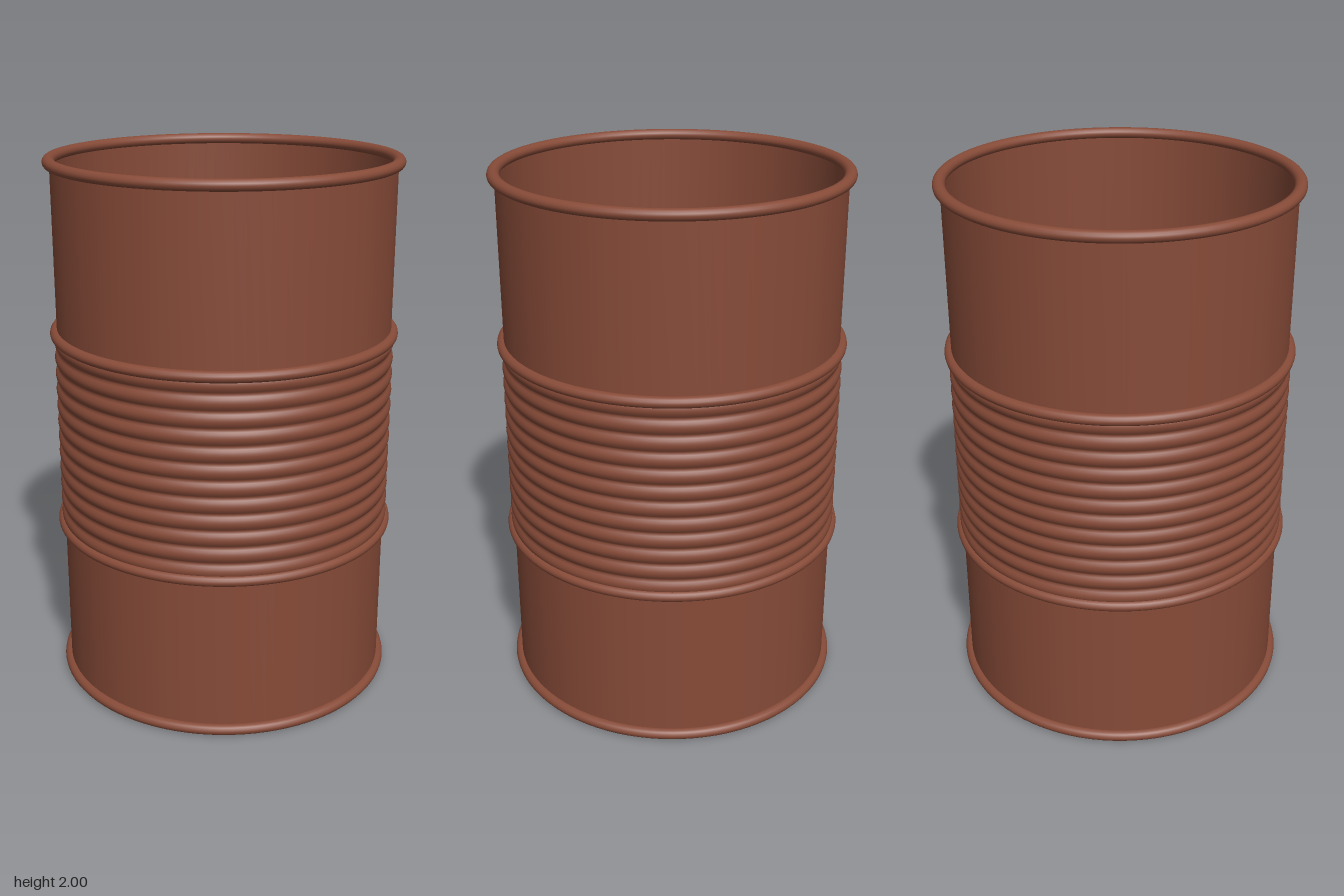
import * as THREE from 'three';

export function createModel() {
  const model = new THREE.Group();
  model.name = 'barrel';
  const rust = new THREE.MeshStandardMaterial({ color: 0x874b38, side: THREE.DoubleSide });
  rust.name = 'rust brown';

  const wallRadius = 0.62;
  const segments = 96;

  function addLathe(name, points) {
    const mesh = new THREE.Mesh(new THREE.LatheGeometry(points, segments), rust);
    mesh.name = name;
    model.add(mesh);
  }

  // Plain sheet walls, open at both ends
  const wall = (y0, y1) => [new THREE.Vector2(wallRadius, y0), new THREE.Vector2(wallRadius, y1)];
  addLathe('lowerWall', wall(0.02, 0.62));
  addLathe('upperWall', wall(1.36, 1.98));

  // Corrugated middle with rounded ribs
  const ribs = 12, steps = 8, y0 = 0.62, y1 = 1.36;
  const profile = [];
  for (let i = 0; i <= ribs * steps; i++) {
    const t = i / (ribs * steps);
    const bump = Math.abs(Math.sin(t * ribs * Math.PI));
    profile.push(new THREE.Vector2(0.618 + 0.013 * bump, y0 + (y1 - y0) * t));
  }
  addLathe('ribbedWall', profile);

  // Rolled rims and the two hoops, slightly flattened
  const ringGeometry = new THREE.TorusGeometry(0.6225, 0.0225, 16, segments);
  ringGeometry.rotateX(Math.PI / 2);
  ringGeometry.scale(1, 0.9, 1);
  const rings = { bottomRim: 0.02, lowerHoop: 0.62, upperHoop: 1.36, topRim: 1.98 };
  for (const [name, y] of Object.entries(rings)) {
    const ring = new THREE.Mesh(ringGeometry, rust);
    ring.name = name;
    ring.position.y = y;
    model.add(ring);
  }
  return model;
}
